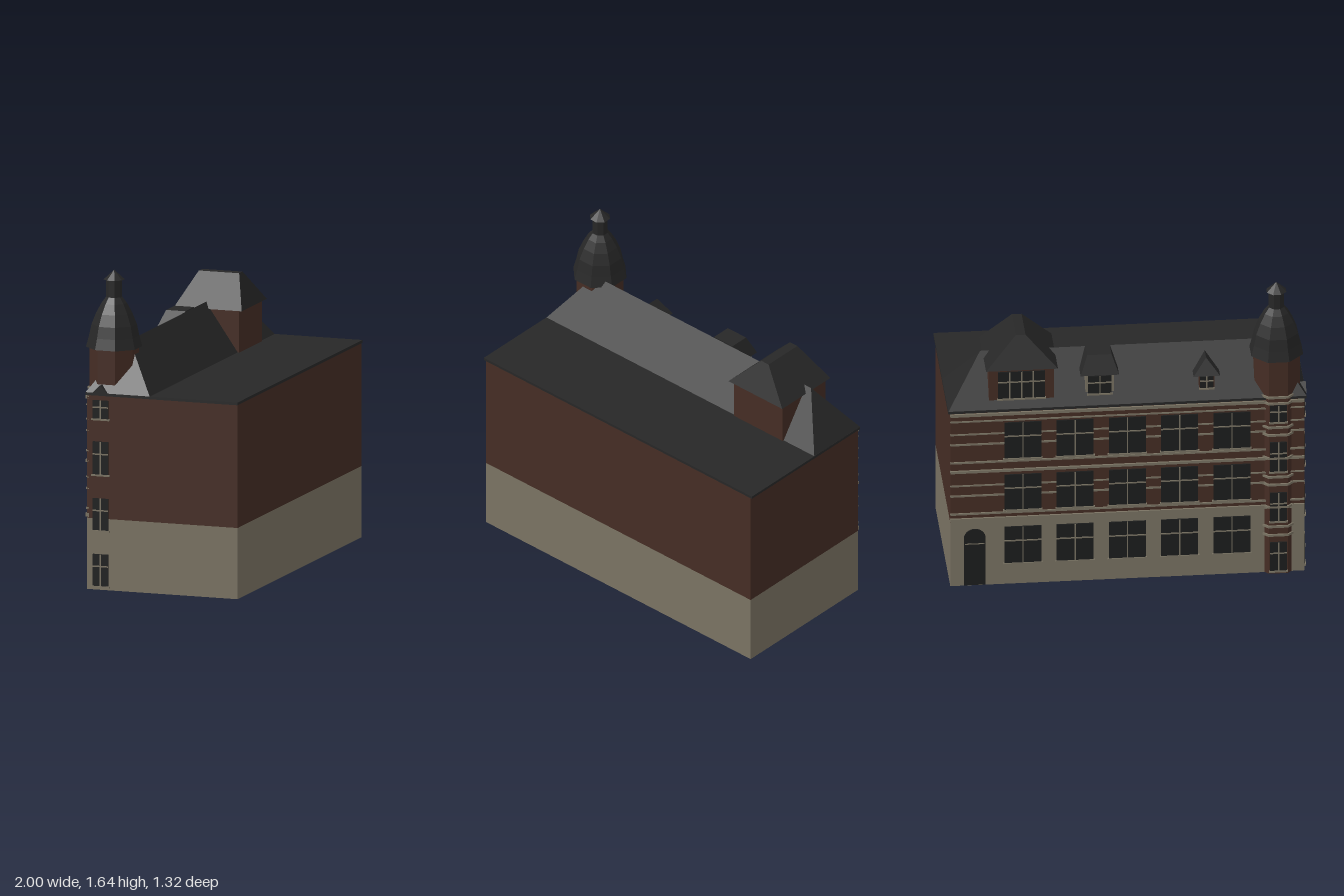
import * as THREE from 'three';
import { ConvexGeometry } from 'three/addons/geometries/ConvexGeometry.js';

const flat = (name, color) => {
  const m = new THREE.MeshStandardMaterial({ color });
  m.name = name;
  return m;
};

export function createModel() {
  const brick = flat('brick', 0x452d24);
  const stone = flat('stone', 0x7a7363);
  const slate = flat('slate', 0x272727);
  const glass = flat('glass', 0x1c1d1d);

  const model = new THREE.Group();
  model.name = 'cornerBuilding';
  const house = new THREE.Group();
  house.name = 'house';
  house.rotation.y = 0.289; // the block stands at an angle to the street grid
  model.add(house);

  const add = (name, geo, mat, parent = house) => {
    const mesh = new THREE.Mesh(geo, mat);
    mesh.name = name;
    parent.add(mesh);
    return mesh;
  };
  // Box given by its minimum and maximum on each axis
  const block = (name, mat, x0, x1, y0, y1, z0, z1, parent) => {
    const mesh = add(name, new THREE.BoxGeometry(x1 - x0, y1 - y0, z1 - z0), mat, parent);
    mesh.position.set((x0 + x1) / 2, (y0 + y1) / 2, (z0 + z1) / 2);
    return mesh;
  };
  const hull = (name, mat, pts) =>
    add(name, new ConvexGeometry(pts.map(p => new THREE.Vector3(...p))), mat);
  const rect = (x0, x1, z0, z1, y) => [[x0, y, z0], [x1, y, z0], [x1, y, z1], [x0, y, z1]];
  // Faceted eight-sided solid turned from a profile, flats facing front and back
  const octagon = (name, mat, profile, x, z) => {
    const k = 1 / Math.cos(Math.PI / 8);
    const lathe = new THREE.LatheGeometry(profile.map(([r, y]) => new THREE.Vector2(r * k, y)), 8);
    const geo = lathe.toNonIndexed().rotateY(Math.PI / 8);
    geo.computeVertexNormals();
    add(name, geo, mat).position.set(x, 0, z);
  };

  // Window: dark pane, stone sill and glazing bars, built facing +z then turned
  const makeWindow = (name, x, y0, y1, z, w, turn, cols = 2) => {
    const g = new THREE.Group();
    g.name = name;
    g.position.set(x, y0, z);
    g.rotation.y = turn;
    const h = y1 - y0, b = 0.0035;
    block('pane', glass, -w / 2, w / 2, 0, h, -0.002, 0.007, g);
    block('sill', stone, -w / 2 - 0.006, w / 2 + 0.006, -0.009, 0, -0.002, 0.012, g);
    block('transom', stone, -w / 2, w / 2, h * 0.62 - b, h * 0.62 + b, 0.006, 0.01, g);
    for (let i = 1; i < cols; i++) {
      const bx = -w / 2 + (w * i) / cols;
      block('mullion', stone, bx - b, bx + b, 0, h, 0.006, 0.01, g);
    }
    house.add(g);
  };

  // Main block
  const U = 0.908, V = 0.41;
  block('stoneBase', stone, -U, U, 0, 0.37, -V, V);
  block('brickWalls', brick, -U, U, 0.37, 1.01, -V, V);
  block('eaves', slate, -0.919, 0.919, 1.01, 1.024, -0.416, 0.413);
  hull('hipRoof', slate, [...rect(-0.919, 0.919, -0.416, -0.065, 1.023),
    [-0.74, 1.275, -0.24], [0.74, 1.275, -0.24]]);

  // String courses along the street face
  for (const [y, t, d] of [[0.375, 0.02, 0.01], [0.415, 0.01, 0.007], [0.52, 0.01, 0.005],
    [0.58, 0.008, 0.005], [0.66, 0.014, 0.01], [0.715, 0.01, 0.007], [0.82, 0.01, 0.005],
    [0.88, 0.008, 0.005], [0.955, 0.008, 0.005], [0.99, 0.016, 0.01]]) {
    block('stringCourse', stone, -U, U, y, y + t, -V - d, -V + 0.01);
  }

  // Five bays of windows on three floors
  for (let i = -2; i <= 2; i++) {
    for (const [y0, y1] of [[0.125, 0.335], [0.437, 0.64], [0.738, 0.945]]) {
      makeWindow('streetWindow', i * 0.268, y0, y1, -V, 0.19, Math.PI);
    }
  }

  // Arched door
  const arch = (w, h) => {
    const s = new THREE.Shape();
    s.moveTo(-w / 2, 0);
    s.lineTo(w / 2, 0);
    s.lineTo(w / 2, h - w / 2);
    s.absarc(0, h - w / 2, w / 2, 0, Math.PI, false);
    s.closePath();
    return s;
  };
  const door = new THREE.Group();
  door.name = 'archedDoor';
  door.position.set(0.783, 0.005, -V);
  door.rotation.y = Math.PI;
  house.add(door);
  add('doorLeaf', new THREE.ExtrudeGeometry(arch(0.112, 0.325), { depth: 0.007, bevelEnabled: false, curveSegments: 8 }), glass, door);
  block('doorBar', stone, -0.05, 0.05, 0.238, 0.243, 0.006, 0.009, door);

  // Corner tower
  const tx = -0.773, tz = -0.313;
  octagon('towerShaft', brick, [[0, 0], [0.117, 0], [0.117, 1.25], [0, 1.25]], tx, tz);
  for (const y of [0.22, 0.27, 0.385, 0.515, 0.56, 0.67, 0.805, 0.85, 0.99, 1.025]) {
    octagon('towerBand', stone, [[0.11, y], [0.125, y], [0.125, y + 0.012], [0.11, y + 0.012]], tx, tz);
  }
  octagon('towerDome', slate, [[0, 1.243], [0.133, 1.243], [0.119, 1.3], [0.107, 1.36], [0.085, 1.42],
    [0.06, 1.47], [0.038, 1.502], [0.038, 1.59], [0.05, 1.592], [0, 1.642]], tx, tz);

  // Tower windows and the matching column on the end wall
  for (const [y0, y1] of [[0.02, 0.185], [0.31, 0.475], [0.6, 0.77], [0.89, 0.985]]) {
    makeWindow('towerWindow', tx, y0, y1, tz - 0.117, 0.085, Math.PI);
    makeWindow('endWindow', -U, y0, y1, -0.335, 0.085, -Math.PI / 2);
  }
  hull('endPediment', slate, [[-0.922, 1.02, -0.38], [-0.922, 1.02, -0.29], [-0.922, 1.065, -0.335],
    [-0.85, 1.02, -0.38], [-0.85, 1.02, -0.29], [-0.85, 1.065, -0.335]]);

  // Roof pavilion
  block('pavilionWalls', brick, 0.375, 0.708, 1.02, 1.25, -0.387, -0.058);
  hull('pavilionRoof', slate, [...rect(0.355, 0.724, -0.405, -0.037, 1.243),
    [0.515, 1.408, -0.33], [0.565, 1.408, -0.33], [0.515, 1.408, -0.11], [0.565, 1.408, -0.11]]);
  makeWindow('pavilionWindow', 0.541, 1.075, 1.228, -0.387, 0.24, Math.PI, 4);

  // Middle dormer with a steep hipped top
  block('dormerWalls', stone, 0.065, 0.212, 1.04, 1.185, -0.375, -0.26);
  hull('dormerRoof', slate, [...rect(0.04, 0.237, -0.388, -0.26, 1.182), ...rect(0.075, 0.2, -0.345, -0.24, 1.28)]);
  makeWindow('dormerWindow', 0.138, 1.075, 1.175, -0.375, 0.12, Math.PI, 2);

  // Small pointed dormer
  block('smallDormerWalls', brick, -0.45, -0.37, 1.05, 1.155, -0.378, -0.3);
  hull('smallDormerRoof', slate, [...rect(-0.478, -0.342, -0.39, -0.3, 1.15),
    [-0.41, 1.235, -0.345], [-0.41, 1.235, -0.26]]);
  makeWindow('smallDormerWindow', -0.41, 1.08, 1.145, -0.378, 0.068, Math.PI);

  return model;
}
